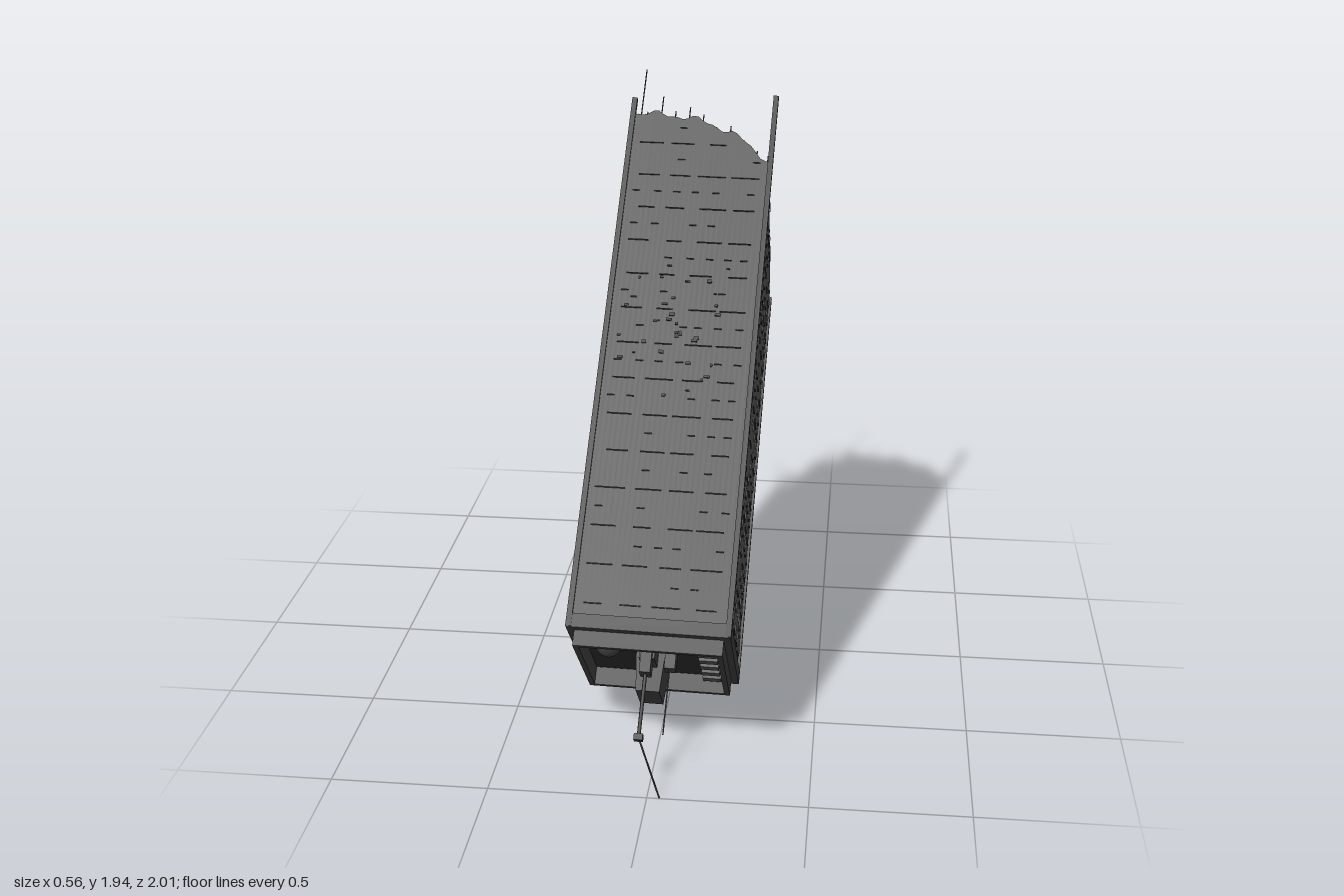
import * as THREE from 'three';
import { mergeGeometries } from 'three/addons/utils/BufferGeometryUtils.js';

const W = 0.5, D = 0.52, ROOF = -0.24; // tower width, depth, roof level (roof end points down)

function mat(name, color) {
  const m = new THREE.MeshStandardMaterial({ color });
  m.name = name;
  return m;
}

// small seeded random generator
function seeded(seed) {
  return () => (seed = (seed * 16807) % 2147483647) / 2147483647;
}

// piecewise linear profile
function profile(points, t) {
  for (let i = 1; i < points.length; i++) {
    const [a, ya] = points[i - 1], [b, yb] = points[i];
    if (t <= b) return THREE.MathUtils.lerp(ya, yb, Math.max(0, (t - a) / (b - a)));
  }
  return points[points.length - 1][1];
}

const HIGH_SIDE = [[0, 1.22], [0.1, 1.245], [0.25, 1.35], [0.4, 1.485], [0.5, 1.525], [0.83, 1.57], [1, 1.65]];
const LOW_SIDE = [[0, 1.22], [0.33, 1.33], [0.9, 1.38], [1, 1.46]];

// height of the broken end at a point of the cross-section
function breakHeight(x, z) {
  const s = THREE.MathUtils.clamp(x / W + 0.5, 0, 1);
  const t = THREE.MathUtils.clamp(z / D + 0.5, 0, 1);
  const base = THREE.MathUtils.lerp(profile(HIGH_SIDE, t), profile(LOW_SIDE, t), s ** 3);
  const dip = 0.1 * Math.sin(Math.PI * s) * Math.sin(Math.PI * t);
  return base - dip + 0.01 * Math.sin(x * 42 + z * 9) + 0.006 * Math.sin(x * 90 - z * 33);
}

function box(w, h, d, x, y, z) {
  return new THREE.BoxGeometry(w, h, d).translate(x, y, z);
}

// straight rod between two points
function rod(a, b, r, sides = 5) {
  return new THREE.TubeGeometry(new THREE.LineCurve3(new THREE.Vector3(...a), new THREE.Vector3(...b)), 1, r, sides);
}

// rectangular ring of four bars
function ring(w, d, h, thick, y) {
  const parts = [];
  for (const s of [-1, 1]) {
    parts.push(box(w, h, thick, 0, y, s * (d - thick) / 2));
    parts.push(box(thick, h, d - 2 * thick, s * (w - thick) / 2, y, 0));
  }
  return mergeGeometries(parts);
}

export function createModel() {
  const wall = mat('concrete wall', 0x4f4f4f);
  const rubble = mat('broken concrete', 0x484848);
  const trim = mat('dark trim', 0x3c3c3c);
  const dark = mat('dark recess', 0x2a2a2a);
  const steel = mat('steel', 0x333333);

  const tower = new THREE.Group();
  tower.name = 'fallenTower';
  const add = (name, geometry, material) => {
    const m = new THREE.Mesh(geometry, material);
    m.name = name;
    tower.add(m);
    return m;
  };
  const rand = seeded(77);

  // main block with its far end broken off unevenly
  const body = new THREE.BoxGeometry(W, 1, D, 28, 1, 28);
  const p = body.attributes.position;
  for (let i = 0; i < p.count; i++) {
    p.setY(i, p.getY(i) > 0 ? breakHeight(p.getX(i), p.getZ(i)) : ROOF + 0.02);
  }
  body.computeVertexNormals();
  add('brokenTowerBody', body, [wall, wall, rubble, dark, wall, wall]);

  // thin window ledges on all four sides
  const ledges = [];
  const frames = [[0, W, D], [Math.PI / 2, D, W], [Math.PI, W, D], [-Math.PI / 2, D, W]];
  frames.forEach(([angle, width, depth], side) => {
    const put = (u, y, w, h) => {
      const c = Math.cos(angle), s = Math.sin(angle), half = depth / 2;
      const x = u * c + half * s, z = -u * s + half * c;
      if (y > breakHeight(x, z) - 0.03) return;
      ledges.push(new THREE.BoxGeometry(w, h, 0.009).rotateY(angle).translate(x, y, z));
    };
    for (let row = 0; row < 29; row++) {
      const y = -0.16 + row * 0.065, long = row % 2 === 0;
      const n = long ? 4 : 7, step = (width - 0.04) / n;
      for (let i = 0; i < n; i++) {
        const u = (i + 0.5 - n / 2) * step + (rand() - 0.5) * 0.02;
        if (long || rand() < 0.6) put(u, y, long ? 0.05 + rand() * 0.05 : 0.025, 0.003);
        if (side !== 0 && rand() < 0.55) put(u + step * 0.4, y + 0.03, 0.003, 0.03);
      }
    }
    // scattered chips in the front
    if (side === 0) {
      for (let i = 0; i < 35; i++) put((rand() - 0.6) * 0.35, 0.55 + rand() * 0.5, 0.006 + rand() * 0.014, 0.004 + rand() * 0.008);
    }
  });
  add('windowLedges', mergeGeometries(ledges), dark);

  // corner columns, standing past the break
  const columns = [[-1, 1, 1.71], [1, 1, 1.74], [-1, -1, 1.386], [1, -1, 1.21]].map(([sx, sz, top]) =>
    box(0.018, top - ROOF, 0.018, sx * 0.25, (top + ROOF) / 2, sz * 0.258));
  add('cornerColumns', mergeGeometries(columns), trim);

  // column bent away at the back corner
  const bent = new THREE.CatmullRomCurve3([[0.25, 1.2, -0.25], [0.17, 1.236, -0.33], [0.115, 1.244, -0.4],
    [0.135, 1.225, -0.48], [0.2, 1.188, -0.685]].map((q) => new THREE.Vector3(...q)));
  add('bentColumn', new THREE.TubeGeometry(bent, 20, 0.009, 6), steel);

  // reinforcing bars sticking out of the broken edge
  const R = 0.0022, bars = [];
  const bar = (x, z, tip) => bars.push(rod([x, breakHeight(x, z) - 0.06, z], [x, tip, z], R));
  for (let i = 0; i < 9; i++) {
    const x = -0.2 + i * 0.05;
    bar(x, -0.235, i === 5 ? 1.69 : i === 1 ? 1.66 : 1.45 + rand() * 0.03);
    bar(x, 0.25, breakHeight(x, 0.25) + 0.02 + rand() * 0.07);
  }
  for (const x of [-0.235, 0.235]) {
    for (let i = 0; i < 8; i++) {
      const z = -0.19 + i * 0.055;
      bar(x, z, breakHeight(x, z) + 0.09 + rand() * 0.07);
    }
    for (let i = 0; i < 3; i++) {
      const y = (x < 0 ? 1.5 : 1.38) + i * 0.06;
      bars.push(rod([x, y, -0.23 + i * 0.05], [x, y, 0.05 + i * 0.07], R));
    }
  }
  bars.push(rod([-0.23, 1.55, 0.2], [-0.23, 1.874, 0.2], R));
  bars.push(rod([-0.225, 1.35, -0.226], [-0.225, 1.266, -0.424], R));
  bars.push(rod([-0.225, 1.266, -0.424], [-0.225, 1.464, -0.608], R));
  bars.push(rod([-0.21, 1.4, -0.235], [0.22, 1.4, -0.235], R));
  add('reinforcingBars', mergeGeometries(bars), steel);

  // stepped cornice and parapet around the roof
  add('cornice', ring(W + 0.016, D + 0.01, 0.045, 0.03, ROOF + 0.02), trim);
  add('parapet', ring(0.47, 0.465, 0.06, 0.018, ROOF - 0.022), trim);
  add('roofFloor', box(W - 0.02, 0.01, D - 0.02, 0, ROOF + 0.015, 0), dark);

  // roof machinery: tapered plant room, small boxes, dome and slats
  const plant = new THREE.CylinderGeometry(0.5, 0.4, 1, 4, 1).rotateY(Math.PI / 4).toNonIndexed();
  plant.scale(0.135, 0.13, 0.27).translate(-0.01, -0.3, -0.052);
  plant.computeVertexNormals();
  add('plantRoom', plant, trim);
  add('roofBoxes', mergeGeometries([
    box(0.035, 0.11, 0.06, -0.01, -0.285, 0.13),
    box(0.035, 0.08, 0.05, 0.06, -0.265, 0.07),
    box(0.05, 0.06, 0.1, -0.01, -0.26, 0.09),
  ]), trim);
  add('roofDome', new THREE.SphereGeometry(0.042, 16, 12).translate(-0.135, ROOF - 0.01, 0.13), trim);
  const slats = [];
  for (let i = 0; i < 6; i++) slats.push(box(0.06, 0.03, 0.035, 0.175, ROOF - 0.003, -0.18 + i * 0.068));
  add('roofVents', mergeGeometries(slats), wall);

  // antenna mast with its tip snapped over
  add('mast', rod([-0.01, ROOF, 0.128], [-0.01, -0.54, 0.128], 0.006, 8), steel);
  add('mastBox', box(0.028, 0.02, 0.028, -0.01, -0.54, 0.128), steel);
  add('mastTip', rod([-0.01, -0.54, 0.128], [0.065, -0.705, 0.05], 0.003), steel);
  add('whipAntenna', rod([0.06, ROOF, 0.085], [0.06, -0.516, 0.085], R), steel);

  // lean the whole tower, roof end down toward the front
  tower.position.set(-0.01, 0.465, 0.465);
  tower.rotation.set(-Math.PI / 4, 0, -0.0225);
  const model = new THREE.Group();
  model.name = 'towerRuin';
  model.add(tower);
  return model;
}
